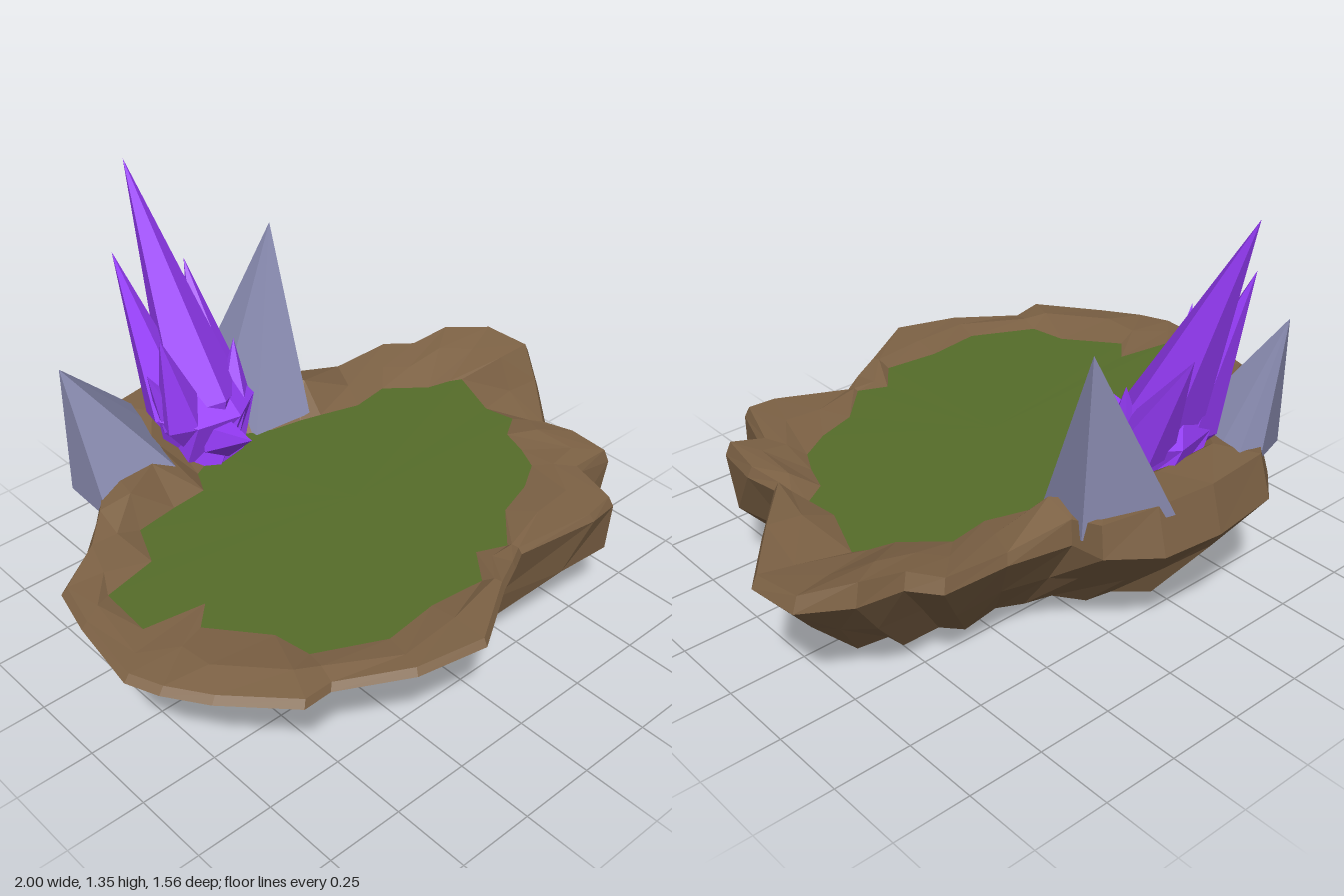
import * as THREE from 'three';

// Island rim: x, z, crest height, counter-clockwise seen from above
const RIM = [
  [1.00, -0.17, 0.49], [0.98, -0.33, 0.50], [0.84, -0.41, 0.52], [0.70, -0.43, 0.50], [0.63, -0.51, 0.49],
  [0.42, -0.52, 0.48], [0.22, -0.56, 0.52], [0.20, -0.66, 0.54], [0.06, -0.76, 0.58], [-0.14, -0.78, 0.58],
  [-0.38, -0.75, 0.57], [-0.48, -0.66, 0.55], [-0.55, -0.52, 0.53], [-0.68, -0.37, 0.50], [-0.78, -0.27, 0.48],
  [-0.93, -0.18, 0.46], [-0.97, -0.02, 0.46], [-1.00, 0.22, 0.45], [-0.96, 0.32, 0.45], [-0.88, 0.44, 0.45],
  [-0.72, 0.62, 0.46], [-0.62, 0.61, 0.45], [-0.42, 0.73, 0.46], [-0.21, 0.78, 0.47], [0.00, 0.65, 0.47],
  [0.10, 0.60, 0.46], [0.17, 0.56, 0.45], [0.42, 0.62, 0.48], [0.52, 0.61, 0.49], [0.58, 0.43, 0.48],
  [0.69, 0.45, 0.50], [0.71, 0.30, 0.49], [0.69, 0.19, 0.48], [0.85, 0.01, 0.49],
];
// Edge of the grass, one x, z pair per rim point
const GRASS = [
  [0.70, -0.20], [0.66, -0.22], [0.58, -0.24], [0.52, -0.29], [0.46, -0.34], [0.33, -0.32], [0.20, -0.36],
  [0.13, -0.38], [0.03, -0.40], [-0.05, -0.44], [-0.20, -0.42], [-0.30, -0.37], [-0.34, -0.29], [-0.46, -0.28],
  [-0.60, -0.26], [-0.66, -0.12], [-0.84, -0.08], [-0.85, 0.10], [-0.66, 0.13], [-0.73, 0.20], [-0.60, 0.36],
  [-0.58, 0.48], [-0.38, 0.58], [-0.20, 0.56], [-0.02, 0.58], [0.06, 0.48], [0.15, 0.52], [0.27, 0.40],
  [0.40, 0.36], [0.50, 0.30], [0.54, 0.22], [0.57, 0.13], [0.65, 0.08], [0.63, -0.02],
];
// Lobed foot of the rock: x, y, z, one per second rim point
const FOOT = [
  [0.65, 0.055, -0.13], [0.56, 0.08, -0.23], [0.38, 0.08, -0.29], [0.16, 0.07, -0.30], [0.00, 0.06, -0.40],
  [-0.22, 0.02, -0.46], [-0.36, 0.00, -0.38], [-0.52, 0.05, -0.20], [-0.60, 0.07, -0.05], [-0.58, 0.07, 0.10],
  [-0.45, 0.08, 0.25], [-0.34, 0.08, 0.27], [-0.10, 0.10, 0.25], [0.10, 0.05, 0.41], [0.40, 0.07, 0.40],
  [0.48, 0.07, 0.30], [0.57, 0.06, 0.08],
];

const flat = (color) => new THREE.MeshStandardMaterial({ color, flatShading: true });

// Repeatable jitter in -1..1
function makeNoise(seed) {
  return () => {
    seed = (seed * 16807) % 2147483647;
    return (seed / 2147483647) * 2 - 1;
  };
}

// Faceted skin through closed rings of equal count; a ring may collapse to one point
function loft(rings) {
  const pos = [];
  const tri = (...p) => {
    if (p[0] !== p[1] && p[1] !== p[2] && p[0] !== p[2]) p.forEach((v) => pos.push(v.x, v.y, v.z));
  };
  for (let r = 0; r < rings.length - 1; r++) {
    const a = rings[r], b = rings[r + 1], n = a.length;
    for (let i = 0; i < n; i++) {
      const j = (i + 1) % n;
      tri(a[i], a[j], b[j]);
      tri(a[i], b[j], b[i]);
    }
  }
  const geo = new THREE.BufferGeometry();
  geo.setAttribute('position', new THREE.Float32BufferAttribute(pos, 3));
  geo.computeVertexNormals();
  return geo;
}

const V = (x, y, z) => new THREE.Vector3(x, y, z);
const point = (n, x, y, z) => Array(n).fill(V(x, y, z));

function addMesh(parent, name, geo, material) {
  const mesh = new THREE.Mesh(geo, material);
  mesh.name = name;
  parent.add(mesh);
  return mesh;
}

// Wall bulge by rim index: a swollen front-left lobe beside a hollowed front-right wall
function bulge(i) {
  if (i >= 27 && i <= 30) return 1.13;
  if (i >= 20 && i <= 24) return 0.86;
  return 1.01;
}

export function createModel() {
  const model = new THREE.Group();
  model.name = 'floatingIsland';
  const n = RIM.length;
  const noise = makeNoise(4711);

  // Rocky body: shallow underside, fluted walls, raised rim, slope down to the grass
  const foot = RIM.map((_, i) => {
    const p = V(...FOOT[i >> 1]);
    if (i % 2) p.lerp(V(...FOOT[((i + 1) >> 1) % FOOT.length]), 0.5).multiply(V(0.94, 1.15, 0.94));
    return p;
  });
  const edge = RIM.map(([x, z, y]) => V(x, Math.min(y - 0.02, 0.455) + 0.05 * Math.min(0, z + 0.3), z));
  const wall = foot.map((p, i) => {
    const q = p.clone().lerp(edge[i], 0.48 + 0.06 * noise());
    const k = bulge(i) + 0.02 * noise();
    return V(q.x * k, q.y, q.z * k);
  });
  const hollow = foot.map((p) => V(p.x * 0.6, 0.095 + 0.015 * noise(), p.z * 0.6));
  const crest = RIM.map(([x, z, y]) => V(x * 0.98, y, z * (y > 0.54 ? 0.95 : 0.98)));
  const lawn = GRASS.map(([x, z]) => V(x, 0.45, z));
  const slope = crest.map((p, i) => {
    const q = p.clone().lerp(lawn[i], 0.5 + 0.12 * noise());
    const knoll = q.x < 0.25 && q.z < -0.3 ? 0.045 : 0;
    q.y += 0.008 + 0.008 * noise() + knoll;
    return q;
  });
  addMesh(model, 'rockBase',
    loft([point(n, 0, 0.12, 0), hollow, foot, wall, edge, crest, slope, lawn]), flat(0x7d6245));

  // Grass top
  addMesh(model, 'grass', loft([lawn, point(n, -0.02, 0.455, 0.05)]), flat(0x566d2a));

  // Grey stone shards: base corners counter-clockwise, then the tip
  const stone = flat(0x898bb0);
  const shard = (name, base, tip) =>
    addMesh(model, name, loft([base.map((p) => V(...p)), point(base.length, ...tip)]), stone);
  shard('leftStone',
    [[0.17, 0.46, -0.38], [0.215, 0.47, -0.59], [0.02, 0.55, -0.75], [-0.05, 0.46, -0.58], [-0.03, 0.45, -0.41]],
    [0.22, 1.05, -0.62]);
  shard('rightStone',
    [[-0.34, 0.46, -0.36], [-0.26, 0.48, -0.60], [-0.27, 0.52, -0.69], [-0.40, 0.53, -0.69],
      [-0.63, 0.45, -0.57], [-0.64, 0.45, -0.36]],
    [-0.62, 0.87, -0.58]);

  // Purple crystal cluster: a faceted flaring core with leaning spikes
  const crystals = new THREE.Group();
  crystals.name = 'crystalCluster';
  model.add(crystals);
  const purple = flat(0x9a3dff);
  const ring = (r, y, turn) => Array.from({ length: 7 }, (_, i) => {
    const a = ((i + turn) / 7) * Math.PI * 2;
    return V(-0.19 + r * Math.cos(a), y, -0.47 - r * 0.85 * Math.sin(a));
  });
  addMesh(crystals, 'crystalCore',
    loft([point(7, -0.19, 0.43, -0.47), ring(0.13, 0.44, 0), ring(0.17, 0.62, 0.5), point(7, -0.2, 0.88, -0.55)]), purple);

  const spikes = [
    [[-0.19, 0.63, -0.47], [-0.21, 1.35, -0.77], 0.13],
    [[-0.28, 0.62, -0.51], [-0.35, 1.13, -0.66], 0.09],
    [[-0.10, 0.62, -0.51], [-0.05, 0.98, -0.72], 0.09],
    [[-0.29, 0.62, -0.44], [-0.37, 0.94, -0.42], 0.08],
    [[-0.30, 0.60, -0.48], [-0.39, 0.80, -0.47], 0.055],
    [[-0.10, 0.60, -0.43], [-0.06, 0.80, -0.47], 0.06],
    [[-0.20, 0.54, -0.38], [-0.23, 0.64, -0.18], 0.07],
  ];
  for (const [from, to, radius] of spikes) {
    const start = V(...from), axis = V(...to).sub(start);
    const profile = [[0, -0.18], [radius, 0], [0, axis.length()]].map((p) => new THREE.Vector2(...p));
    const spike = addMesh(crystals, 'crystalSpike', new THREE.LatheGeometry(profile, 5), purple);
    spike.position.copy(start);
    spike.quaternion.setFromUnitVectors(V(0, 1, 0), axis.normalize());
  }
  return model;
}
